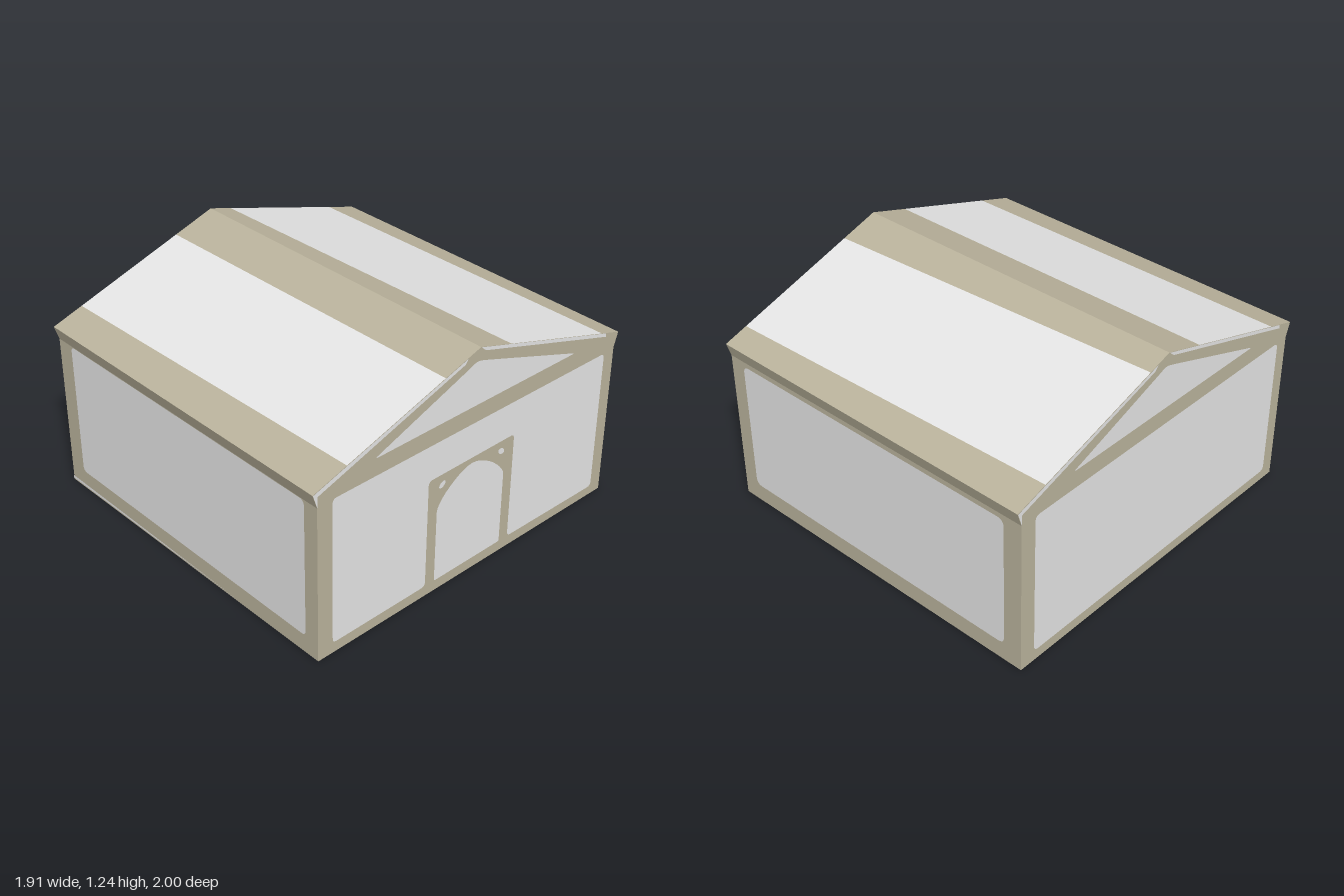
import * as THREE from 'three';

const HX = 0.95, HZ = 0.975, EAVE_Z = 1, EAVE_Y = 0.925, WALL_Y = 0.848, RIDGE_Y = 1.24;
const IN_X = 0.855, IN_Z = 0.88, IN_Y = 0.85, IN_RIDGE = 1.127, LIFT = 0.003;

// Polygon with softened corners
function rounded(points, r) {
  const s = new THREE.Shape(), n = points.length;
  const P = points.map(([x, y]) => new THREE.Vector2(x, y));
  const toward = (a, b) => a.clone().add(b.clone().sub(a).setLength(r));
  P.forEach((p, i) => {
    const a = toward(p, P[(i + n - 1) % n]), b = toward(p, P[(i + 1) % n]);
    if (i === 0) s.moveTo(a.x, a.y); else s.lineTo(a.x, a.y);
    s.quadraticCurveTo(p.x, p.y, b.x, b.y);
  });
  s.closePath();
  return s;
}

const polygon = (points) => new THREE.Shape(points.map(([x, y]) => new THREE.Vector2(x, y)));
const rect = (x0, x1, y0, y1) => [[x0, y0], [x1, y0], [x1, y1], [x0, y1]];

export function createModel() {
  const group = new THREE.Group();
  const plaster = new THREE.MeshStandardMaterial({ color: 0xe5e5e5 });
  plaster.name = 'light grey plaster';
  const trim = new THREE.MeshStandardMaterial({ color: 0xbab39c });
  trim.name = 'tan trim';

  const add = (name, geometry, material) => {
    const mesh = new THREE.Mesh(geometry, material);
    mesh.name = name;
    group.add(mesh);
  };

  // Upright flat face turned by an angle and pushed out along its normal
  const upright = (name, shape, material, angle, distance) =>
    add(name, new THREE.ShapeGeometry(shape, 10).translate(0, 0, distance).rotateY(angle), material);

  // Four-cornered face, counter-clockwise from outside
  const quad = (name, material, a, b, c, d) => {
    const g = new THREE.BufferGeometry();
    g.setAttribute('position', new THREE.Float32BufferAttribute([a, b, c, a, c, d].flat(), 3));
    g.computeVertexNormals();
    add(name, g, material);
  };

  // Long walls
  upright('frontWall', polygon(rect(-HX, HX, 0, WALL_Y)), trim, 0, HZ);
  upright('backWall', polygon(rect(-HX, HX, 0, WALL_Y)), trim, Math.PI, HZ);
  upright('frontPanel', rounded([[-0.845, 0.108], [0.87, 0.1], [0.87, WALL_Y], [-0.845, WALL_Y]], 0.03),
    plaster, 0, HZ + LIFT);
  upright('backPanel', rounded(rect(-0.86, 0.85, 0.1, 0.825), 0.04), plaster, Math.PI, HZ + LIFT);
  upright('frontSillStrip', polygon([[-HX, 0.01], [0.38, 0.012], [-0.35, 0.02], [-HX, 0.026]]),
    plaster, 0, HZ + LIFT);

  // Gable walls with their panels and roof edge strips
  const gable = polygon([[-HZ, 0], [HZ, 0], [HZ, WALL_Y], [EAVE_Z, EAVE_Y], [0, RIDGE_Y],
    [-EAVE_Z, EAVE_Y], [-HZ, WALL_Y]]);
  const pediment = rounded([[-0.65, 0.945], [0.67, 0.938], [0.03, 1.163], [-0.02, 1.178], [-0.07, 1.158]], 0.025);
  for (const side of [1, -1]) {
    const word = side > 0 ? 'left' : 'right', angle = side * Math.PI / 2, out = HX + LIFT;
    upright(word + 'Gable', gable, trim, angle, HX);
    upright(word + 'PedimentPanel', pediment, plaster, angle, out);
    upright(word + 'RoofEdgeA', polygon([[-EAVE_Z, EAVE_Y], [-HZ, WALL_Y], [-HZ, 0.908], [-0.1, 1.19],
      [-0.08, 1.215]]), plaster, angle, out);
    upright(word + 'RoofEdgeB', polygon([[0, RIDGE_Y], [0.03, 1.213], [0.9, 0.937], [0.9, 0.956]]),
      plaster, angle, out);
  }
  upright('rightPanel', rounded(rect(-0.89, 0.9, 0.06, 0.85), 0.03), plaster, -Math.PI / 2, HX + LIFT);

  // Doorway side: panel stops around the door surround
  const doorPanel = rounded([[-0.89, 0.06], [-0.305, 0.06], [-0.305, 0.66], [0.265, 0.66], [0.265, 0.06],
    [0.9, 0.053], [0.9, 0.842], [-0.89, 0.855]], 0.025);
  upright('leftPanel', doorPanel, plaster, Math.PI / 2, HX + LIFT);
  const door = new THREE.Shape();
  door.moveTo(-0.235, 0.06);
  door.lineTo(0.195, 0.06);
  door.quadraticCurveTo(0.205, 0.06, 0.205, 0.07);
  door.lineTo(0.205, 0.46);
  door.bezierCurveTo(0.205, 0.51, 0.07, 0.63, -0.02, 0.63);
  door.bezierCurveTo(-0.1, 0.63, -0.245, 0.52, -0.245, 0.46);
  door.lineTo(-0.245, 0.07);
  door.quadraticCurveTo(-0.245, 0.06, -0.235, 0.06);
  upright('archedDoor', door, plaster, Math.PI / 2, HX + LIFT);
  for (const [x, tilt] of [[-0.215, 0.6], [0.18, -0.6]]) {
    const spot = new THREE.Shape().absellipse(x, 0.603, 0.023, 0.015, 0, Math.PI * 2, false, tilt);
    upright('doorCornerSpot', spot, plaster, Math.PI / 2, HX + LIFT);
  }

  // Roof slopes in three bands; each row holds z at the -x and +x ends
  const slopes = [
    [1, [[0, 0], [0.23, 0.22], [0.83, 0.805], [1, 1]]],
    [-1, [[0, 0], [0.13, 0.205], [0.825, 0.87], [1, 1]]],
  ];
  const roofY = (z) => RIDGE_Y - (RIDGE_Y - EAVE_Y) * z;
  for (const [s, rows] of slopes) {
    const word = s > 0 ? 'front' : 'back';
    const face = (name, material, corners) =>
      quad(word + name, material, ...(s > 0 ? corners : corners.reverse()));
    const at = (x, z) => [x, roofY(z), s * z];
    for (let i = 0; i < 3; i++) {
      face('RoofBand', i === 1 ? plaster : trim,
        [at(-HX, rows[i + 1][0]), at(HX, rows[i + 1][1]), at(HX, rows[i][1]), at(-HX, rows[i][0])]);
    }
    // Sloping eave board
    face('Eave', trim,
      [[-HX, WALL_Y, s * HZ], [HX, WALL_Y, s * HZ], [HX, EAVE_Y, s * EAVE_Z], [-HX, EAVE_Y, s * EAVE_Z]]);
    // Underside of the roof, seen from inside
    face('RoofUnderside', plaster,
      [[-IN_X, IN_RIDGE, 0], [IN_X, IN_RIDGE, 0], [IN_X, IN_Y, s * IN_Z], [-IN_X, IN_Y, s * IN_Z]]);
  }

  // Hollow inside, open at the bottom and pitched like the roof
  const innerLong = polygon(rect(-IN_X, IN_X, 0, IN_Y));
  const innerGable = polygon([[-IN_Z, 0], [IN_Z, 0], [IN_Z, IN_Y], [0, IN_RIDGE], [-IN_Z, IN_Y]]);
  for (let i = 0; i < 4; i++) {
    upright('innerWall', i % 2 ? innerGable : innerLong, plaster, i * Math.PI / 2, i % 2 ? -IN_X : -IN_Z);
  }
  const base = polygon(rect(-HX, HX, -HZ, HZ));
  base.holes.push(polygon(rect(-IN_X, IN_X, -IN_Z, IN_Z)));
  add('wallBase', new THREE.ShapeGeometry(base).rotateX(Math.PI / 2), plaster);

  return group;
}
